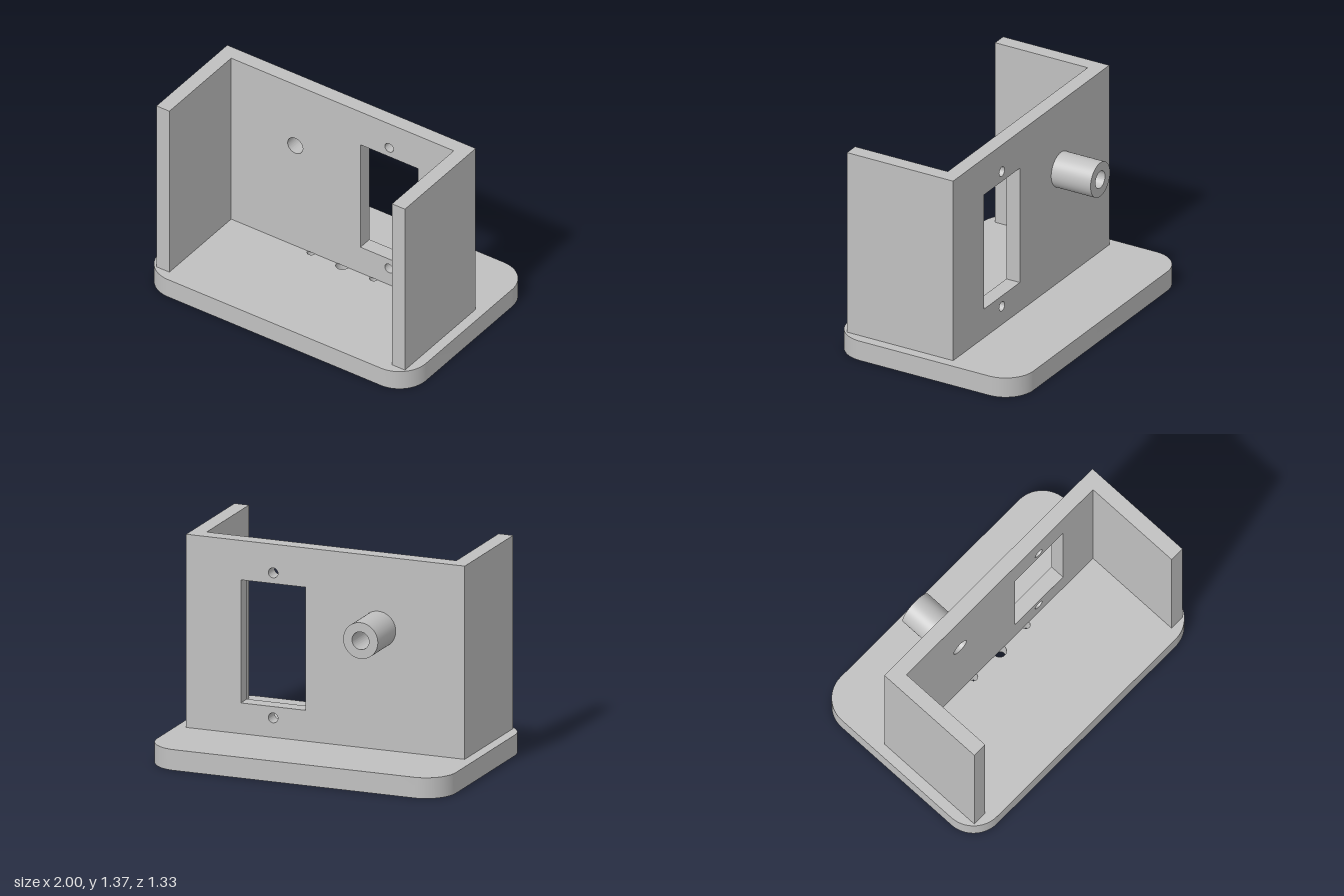
import * as THREE from 'three';
import { toCreasedNormals } from 'three/addons/utils/BufferGeometryUtils.js';

const BASE_H = 0.133;   // base plate thickness
const TOP = 1.37;       // top of the walls
const BACK = -0.167;    // rear face of the back wall
const INNER = -0.07;    // inner face of the back wall
const FRONT = 0.597;    // front ends of the side walls
const HALF_W = 0.933;   // half width of the housing
const WALL = 0.097;     // wall thickness

export function createModel() {
  const group = new THREE.Group();
  const grey = new THREE.MeshStandardMaterial({ color: 0xc0c0c0 });
  grey.name = 'light grey';

  const add = (name, geometry) => {
    const mesh = new THREE.Mesh(geometry, grey);
    mesh.name = name;
    group.add(mesh);
    return mesh;
  };
  const circle = (x, y, r) => new THREE.Path().absarc(x, y, r, 0, Math.PI * 2, true);
  const rect = (Type, x0, y0, x1, y1) => new Type([
    new THREE.Vector2(x0, y0), new THREE.Vector2(x1, y0),
    new THREE.Vector2(x1, y1), new THREE.Vector2(x0, y1),
  ]);
  const extrude = (shape, depth) => toCreasedNormals(
    new THREE.ExtrudeGeometry(shape, { depth, bevelEnabled: false, curveSegments: 32 }), 0.6);

  // Base plate with rounded corners and three mounting holes
  const w = 1, d = 0.665, r = 0.2;
  const plate = new THREE.Shape();
  plate.absarc(w - r, d - r, r, 0, Math.PI / 2);
  plate.absarc(r - w, d - r, r, Math.PI / 2, Math.PI);
  plate.absarc(r - w, r - d, r, Math.PI, Math.PI * 1.5);
  plate.absarc(w - r, r - d, r, Math.PI * 1.5, Math.PI * 2);
  plate.closePath();
  plate.holes.push(circle(0, 0.07, 0.042), circle(-0.235, 0.07, 0.026), circle(0.235, 0.07, 0.026));
  add('basePlate', extrude(plate, BASE_H).rotateX(-Math.PI / 2));

  // Back wall with window, two screw holes and the shaft hole
  const bossX = -0.355, bossY = 0.902, boreR = 0.057;
  const wall = rect(THREE.Shape, -HALF_W, BASE_H, HALF_W, TOP);
  wall.holes.push(
    rect(THREE.Path, 0.135, 0.33, 0.567, 1.118),
    circle(0.35, 0.258, 0.032),
    circle(0.35, 1.186, 0.032),
    circle(bossX, bossY, boreR),
  );
  add('backWall', extrude(wall, INNER - BACK).translate(0, 0, BACK));

  // Side walls
  for (const side of [1, -1]) {
    const mesh = add(side > 0 ? 'leftWall' : 'rightWall',
      new THREE.BoxGeometry(WALL, TOP - BASE_H, FRONT - INNER));
    mesh.position.set(side * (HALF_W - WALL / 2), (TOP + BASE_H) / 2, (FRONT + INNER) / 2);
  }

  // Hollow boss sticking out of the back
  const bossLength = 0.283;
  const tube = new THREE.Shape().absarc(bossX, bossY, 0.116, 0, Math.PI * 2);
  tube.holes.push(circle(bossX, bossY, boreR));
  add('rearBoss', extrude(tube, bossLength).translate(0, 0, BACK - bossLength));

  return group;
}
